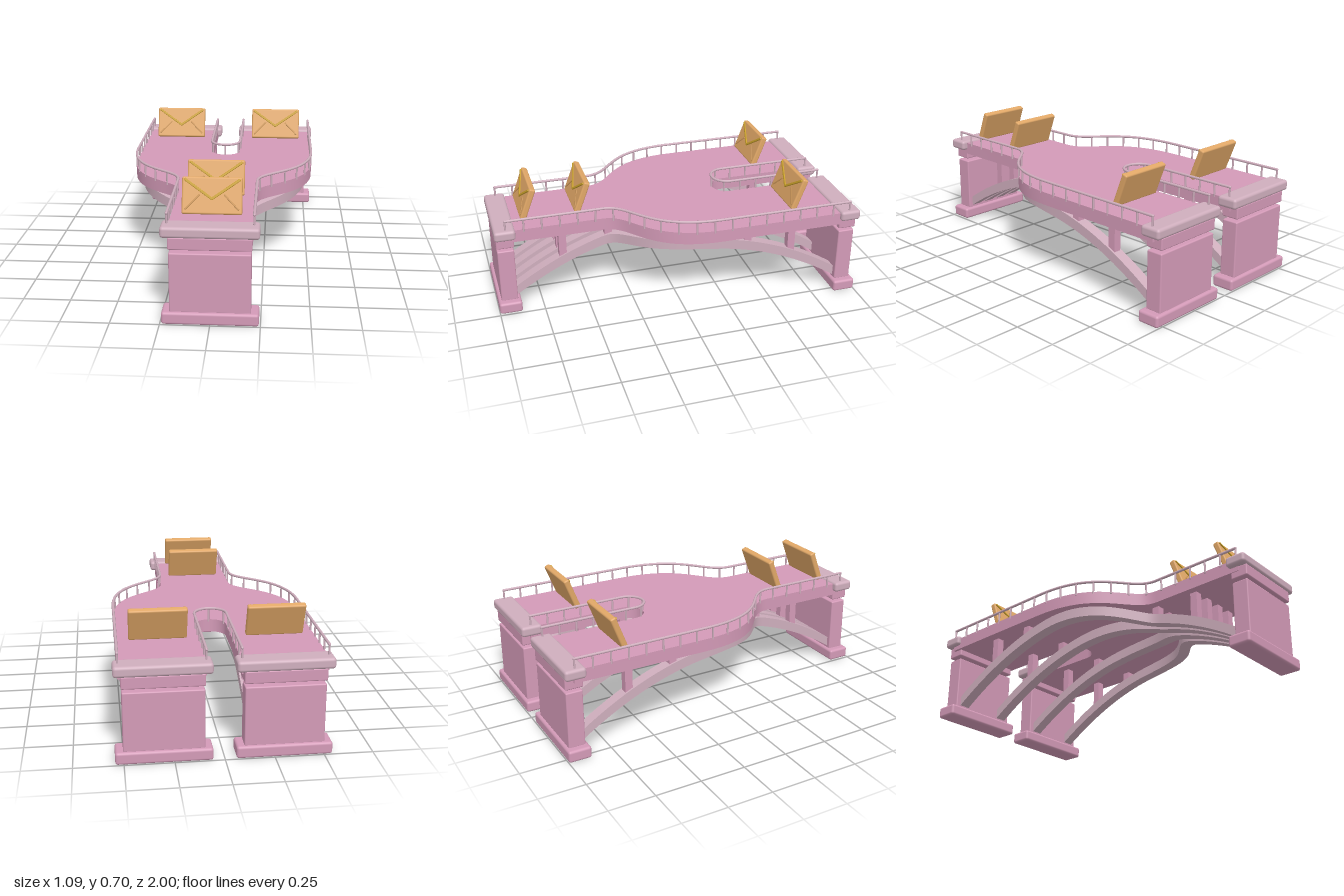
import * as THREE from 'three';
import { toCreasedNormals } from 'three/addons/utils/BufferGeometryUtils.js';
import { RoundedBoxGeometry } from 'three/addons/geometries/RoundedBoxGeometry.js';

const mat = (name, color) => {
  const m = new THREE.MeshStandardMaterial({ color });
  m.name = name;
  return m;
};

export function createModel() {
  const pink = mat('pink', 0xd39ab7);
  const pale = mat('palePink', 0xcfaebd);
  const tan = mat('tan', 0xe0a767);
  const darkTan = mat('darkTan', 0xcb9556);
  const gold = mat('gold', 0xc9a02a);

  const model = new THREE.Group();
  model.name = 'forkedBridge';
  const add = (parent, name, geo, material, x = 0, y = 0, z = 0) => {
    const mesh = new THREE.Mesh(geo, material);
    mesh.name = name;
    mesh.position.set(x, y, z);
    parent.add(mesh);
    return mesh;
  };
  const V = (x, y, z) => new THREE.Vector3(x, y, z);

  // Deck outline: narrow at the front, wide and slotted at the back
  const FRONT = 0.21, BACK = 0.52, SLOT = 0.085, SLOT_Z = -0.39, END = 0.94;
  const shape = new THREE.Shape();
  shape.moveTo(-FRONT, -END);
  shape.lineTo(FRONT, -END);
  shape.lineTo(FRONT, -0.4);
  shape.bezierCurveTo(FRONT, -0.22, BACK, -0.25, BACK, 0.2);
  shape.lineTo(BACK, END);
  shape.lineTo(SLOT, END);
  shape.lineTo(SLOT, -SLOT_Z);
  shape.absarc(0, -SLOT_Z, SLOT, 0, Math.PI, true);
  shape.lineTo(-SLOT, END);
  shape.lineTo(-BACK, END);
  shape.lineTo(-BACK, 0.2);
  shape.bezierCurveTo(-BACK, -0.25, -FRONT, -0.22, -FRONT, -0.4);
  const deckGeo = new THREE.ExtrudeGeometry(shape, { depth: 0.07, bevelEnabled: false, curveSegments: 20 });
  deckGeo.rotateX(-Math.PI / 2);
  add(model, 'deck', toCreasedNormals(deckGeo, 0.6), pink, 0, 0.43, 0);

  // Piers: one in front, two at the back
  for (const [x, side] of [[0, 1], [-0.3, -1], [0.3, -1]]) {
    const pier = new THREE.Group();
    pier.name = 'pier';
    pier.position.set(x, 0, side * 0.937);
    model.add(pier);
    const block = (name, w, d, y0, y1, r, m) =>
      add(pier, name, new RoundedBoxGeometry(w, y1 - y0, d, 3, r), m, 0, (y0 + y1) / 2, 0);
    block('pierBase', 0.485, 0.126, 0, 0.065, 0.014, pink);
    block('pierBody', 0.405, 0.092, 0.06, 0.375, 0.007, pink);
    block('pierNeck', 0.412, 0.098, 0.393, 0.458, 0.007, pink);
    block('pierCap', 0.485, 0.115, 0.455, 0.512, 0.016, pale);
  }

  // Arched ribs that spread with the deck; section is a rectangle swept along the plan
  const edge = new THREE.CubicBezierCurve(
    new THREE.Vector2(0, 0.4), new THREE.Vector2(0, 0.22),
    new THREE.Vector2(1, 0.25), new THREE.Vector2(1, -0.2));
  const plan = [];
  for (let i = 0; i < 12; i++) plan.push(new THREE.Vector2(0, 0.91 - i * 0.0425));
  plan.push(...edge.getPoints(24));
  for (let i = 1; i <= 16; i++) plan.push(new THREE.Vector2(1, -0.2 - i * 0.0444));
  const archTop = z => 0.43 - 0.375 * z * z;
  const ribGeometry = (x0, x1, width) => {
    const path = plan.map(p => new THREE.Vector2(x0 + (x1 - x0) * p.x, p.y));
    const sections = path.map((p, i) => {
      const a = path[Math.max(i - 1, 0)], b = path[Math.min(i + 1, path.length - 1)];
      const t = b.clone().sub(a).normalize();
      const corner = (s, dy) => {
        const z = p.y + t.x * s * width / 2;
        return V(p.x - t.y * s * width / 2, archTop(z) + dy, z);
      };
      return [corner(1, 0), corner(-1, 0), corner(-1, -0.056), corner(1, -0.056)];
    });
    const pos = [];
    const quad = (a, b, c, d) => [a, b, c, a, c, d].forEach(v => pos.push(v.x, v.y, v.z));
    for (let i = 0; i + 1 < sections.length; i++) {
      const s = sections[i], n = sections[i + 1];
      for (let k = 0; k < 4; k++) quad(s[k], n[k], n[(k + 1) % 4], s[(k + 1) % 4]);
    }
    quad(...sections[0]);
    quad(...sections[sections.length - 1].slice().reverse());
    const geo = new THREE.BufferGeometry();
    geo.setAttribute('position', new THREE.Float32BufferAttribute(pos, 3));
    return toCreasedNormals(geo, 0.6);
  };
  for (const side of [-1, 1]) {
    for (const [front, back] of [[0.147, 0.443], [0.05, 0.157]]) {
      add(model, 'archRib', ribGeometry(side * front, side * back, 0.062), pale);
      // Short columns between rib and deck
      for (const z of [0.62, 0.36, -0.36, -0.62]) {
        const bottom = archTop(z) - 0.02;
        add(model, 'spandrelColumn', new THREE.BoxGeometry(0.042, 0.435 - bottom, 0.042), pink,
          side * (z > 0 ? front : back), (0.435 + bottom) / 2, z);
      }
    }
  }

  // Railings
  const RAIL_Y = 0.563;
  const railing = (name, curves) => {
    const group = new THREE.Group();
    group.name = name;
    model.add(group);
    const path = new THREE.CurvePath();
    curves.forEach(c => path.add(c));
    add(group, 'handrail', new THREE.TubeGeometry(path, 96, 0.0075, 8, false), pale);
    const count = Math.round(path.getLength() / 0.1);
    for (let i = 0; i <= count; i++) {
      const p = path.getPointAt(i / count);
      add(group, 'railPost', new THREE.CylinderGeometry(0.0055, 0.0055, 0.075, 8), pale, p.x, RAIL_Y - 0.037, p.z);
    }
    for (const end of [0, 1]) {
      add(group, 'handrailEnd', new THREE.SphereGeometry(0.0075, 8, 6), pale).position.copy(path.getPointAt(end));
    }
  };
  const R = (x, z) => V(x, RAIL_Y, z);
  for (const s of [-1, 1]) {
    const f = s * (FRONT + 0.003), b = s * (BACK - 0.003);
    railing('sideRailing', [
      new THREE.LineCurve3(R(f, 0.93), R(f, 0.4)),
      new THREE.CubicBezierCurve3(R(f, 0.4), R(f, 0.22), R(b, 0.25), R(b, -0.2)),
      new THREE.LineCurve3(R(b, -0.2), R(b, -0.935)),
    ]);
  }
  const r = SLOT + 0.002, k = r * 0.5523, tip = SLOT_Z + r;
  railing('slotRailing', [
    new THREE.LineCurve3(R(-r, -0.935), R(-r, SLOT_Z)),
    new THREE.CubicBezierCurve3(R(-r, SLOT_Z), R(-r, SLOT_Z + k), R(-k, tip), R(0, tip)),
    new THREE.CubicBezierCurve3(R(0, tip), R(k, tip), R(r, SLOT_Z + k), R(r, SLOT_Z)),
    new THREE.LineCurve3(R(r, SLOT_Z), R(r, -0.935)),
  ]);

  // Leaning envelopes with a flap line and two lower fold lines
  const bar = (parent, name, m, x0, y0, x1, y1, w, z) => {
    const len = Math.hypot(x1 - x0, y1 - y0);
    const mesh = add(parent, name, new RoundedBoxGeometry(len + w * 0.6, w, 0.009, 2, 0.003), m,
      (x0 + x1) / 2, (y0 + y1) / 2, z);
    mesh.rotation.z = Math.atan2(y1 - y0, x1 - x0);
  };
  for (const [x, z] of [[0, 0.793], [0, 0.495], [-0.302, -0.658], [0.302, -0.658]]) {
    const envelope = new THREE.Group();
    envelope.name = 'envelope';
    envelope.position.set(x, 0.609, z);
    envelope.rotation.x = -0.36;
    model.add(envelope);
    add(envelope, 'envelopeBody', new RoundedBoxGeometry(0.3, 0.185, 0.034, 3, 0.009), tan);
    for (const s of [-1, 1]) {
      bar(envelope, 'flapLine', gold, s * 0.135, 0.079, 0, -0.016, 0.013, 0.019);
      bar(envelope, 'foldLine', darkTan, s * 0.132, -0.068, s * 0.062, 0.004, 0.009, 0.015);
    }
  }
  return model;
}
